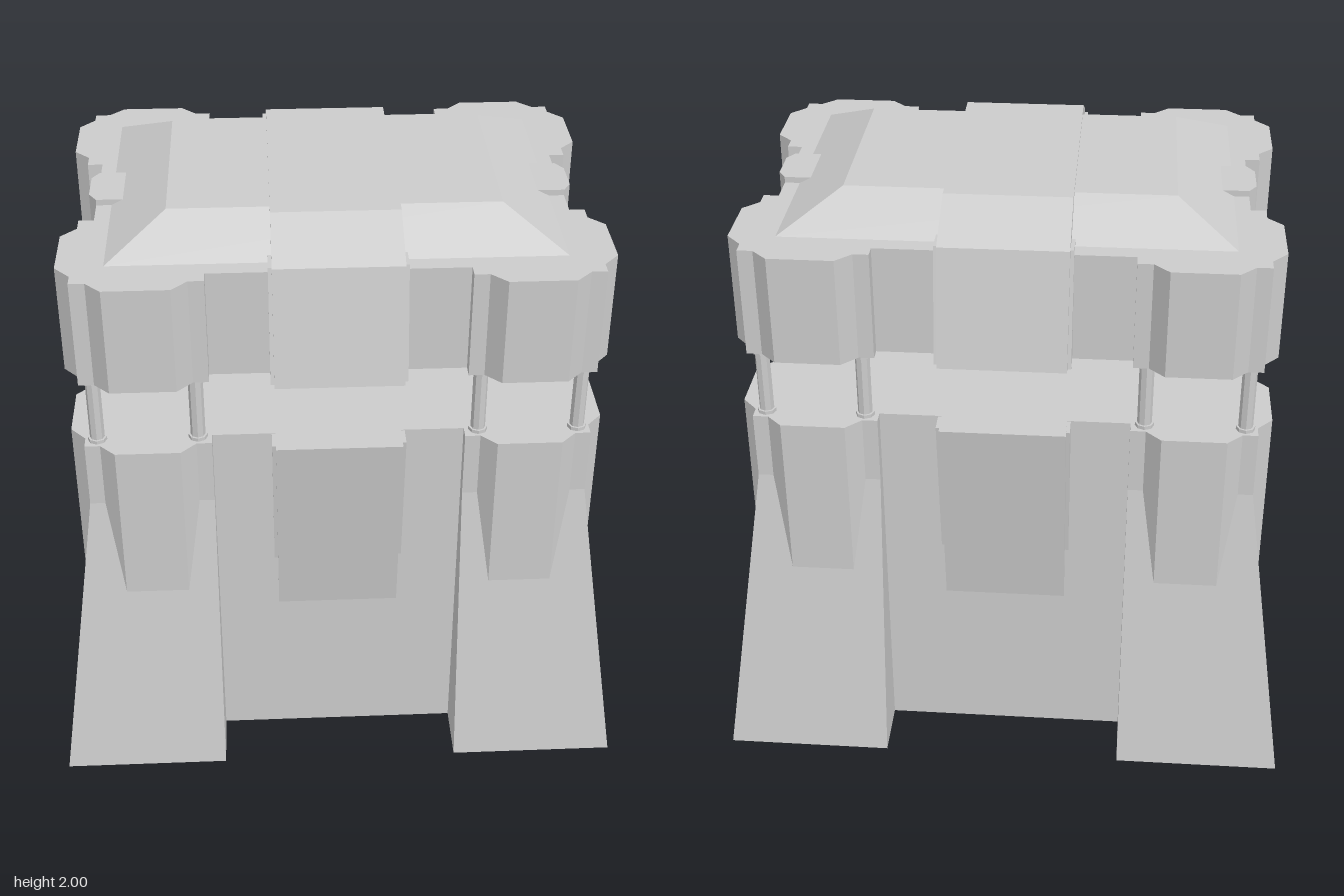
import * as THREE from 'three';

const mat = new THREE.MeshStandardMaterial({ color: 0xcccccc, flatShading: true, side: THREE.DoubleSide });

// Mirror a quarter outline (+x side round to +z side) into a full [x, z] ring
function mirrorRing(q) {
  const r = [...q].reverse();
  return [
    ...q,
    ...r.map(([x, z]) => [-x, z]),
    ...q.map(([x, z]) => [-x, -z]),
    ...r.map(([x, z]) => [x, -z]),
  ];
}

// Open wall between two rings with matching points
function wall(bottom, y0, top, y1) {
  const pos = [];
  const n = bottom.length;
  for (let i = 0; i < n; i++) {
    const j = (i + 1) % n;
    const a = [bottom[i][0], y0, bottom[i][1]], b = [bottom[j][0], y0, bottom[j][1]];
    const c = [top[i][0], y1, top[i][1]], d = [top[j][0], y1, top[j][1]];
    pos.push(...a, ...c, ...d, ...a, ...d, ...b);
  }
  const g = new THREE.BufferGeometry();
  g.setAttribute('position', new THREE.Float32BufferAttribute(pos, 3));
  g.computeVertexNormals();
  return g;
}

const planShape = (ring) => new THREE.Shape(ring.map(([x, z]) => new THREE.Vector2(x, -z)));

// Solid with a plan outline, standing from y0 to y1
function prism(ring, y0, y1) {
  return new THREE.ExtrudeGeometry(planShape(ring), { depth: y1 - y0, bevelEnabled: false })
    .rotateX(-Math.PI / 2).translate(0, y0, 0);
}

// Solid with a [z, y] side profile, spanning -halfWidth..halfWidth in x
function sideProfile(pts, halfWidth) {
  const s = new THREE.Shape(pts.map(([z, y]) => new THREE.Vector2(z, y)));
  return new THREE.ExtrudeGeometry(s, { depth: 2 * halfWidth, bevelEnabled: false })
    .rotateY(-Math.PI / 2).translate(halfWidth, 0, 0);
}

export function createModel() {
  const model = new THREE.Group();
  const add = (name, geometry, parent = model) => {
    const m = new THREE.Mesh(geometry, mat);
    m.name = name;
    parent.add(m);
    return m;
  };

  // Plan outlines: body with four corner towers
  const towerPlan = (x, z) => mirrorRing([[0.77, 0.205], [x, 0.205], [x, z], [0.41, z], [0.41, 0.57]]);
  const crownPlan = mirrorRing([
    [0.77, 0.205], [0.82, 0.205], [0.82, 0.26], [0.87, 0.31], [0.87, 0.515], [0.82, 0.57], [0.82, 0.615],
    [0.77, 0.615], [0.72, 0.665], [0.51, 0.665], [0.46, 0.615], [0.41, 0.615], [0.41, 0.57],
  ]);

  // Base: battered walls, open below, with faceted upright crowns on the corners
  add('baseWalls', wall(towerPlan(0.97, 0.77), 0, towerPlan(0.82, 0.615), 1.06));
  add('baseCrownWalls', wall(crownPlan, 0.7, crownPlan, 1.29));
  add('baseDeck', new THREE.ShapeGeometry(planShape(crownPlan)).rotateX(-Math.PI / 2).translate(0, 1.29, 0));

  // Roof block and hipped top
  add('roofBlock', prism(crownPlan, 1.525, 1.89));
  const hip = new THREE.BoxGeometry(1.44, 0.1, 1.02);
  const p = hip.attributes.position;
  for (let i = 0; i < p.count; i++) {
    if (p.getY(i) > 0) {
      p.setX(i, Math.sign(p.getX(i)) * 0.53);
      p.setZ(i, Math.sign(p.getZ(i)) * 0.33);
    }
  }
  hip.computeVertexNormals();
  add('roofHip', hip.translate(0, 1.94, 0));

  // Central band over the roof, with a slightly wider lip behind it
  add('roofBand', sideProfile([
    [0.665, 1.525], [0.59, 1.91], [0.39, 2], [-0.39, 2], [-0.59, 1.91], [-0.665, 1.525],
  ], 0.205));
  add('roofBandLip', sideProfile([
    [0.64, 1.525], [0.57, 1.905], [0.49, 1.905], [0.45, 1.87],
    [-0.45, 1.87], [-0.49, 1.905], [-0.57, 1.905], [-0.64, 1.525],
  ], 0.217));

  // Wedge buttresses under the band, front and back
  for (const s of [1, -1]) {
    const name = s > 0 ? 'front' : 'back';
    add(name + 'Buttress', sideProfile([[s * 0.55, 0.57], [s * 0.57, 0.57], [s * 0.665, 1.29], [s * 0.55, 1.29]], 0.205));
    add(name + 'ButtressLip', sideProfile([[s * 0.55, 0.77], [s * 0.57, 0.77], [s * 0.64, 1.288], [s * 0.55, 1.288]], 0.217));
  }

  for (const s of [1, -1]) {
    const side = s > 0 ? 'left' : 'right';
    // Chamfered pilasters on the end walls
    const pilaster = [[0.68, -0.1], [0.77, -0.1], [0.795, -0.06], [0.795, 0.06], [0.77, 0.1], [0.68, 0.1]]
      .map(([x, z]) => [s * x, z]);
    add(side + 'LowerPilaster', prism(pilaster, 0, 1.23));
    add(side + 'UpperPilaster', prism(pilaster, 1.585, 1.91));
    // Thick column carrying the roof
    const column = [[0.43, -0.15], [0.68, -0.15], [0.725, -0.11], [0.725, 0.11], [0.68, 0.15], [0.43, 0.15]]
      .map(([x, z]) => [s * x, z]);
    add(side + 'Column', prism(column, 1.285, 1.53));
    add(side + 'ColumnBracket', new THREE.BoxGeometry(0.02, 0.085, 0.2).translate(s * 0.42, 1.485, 0));

    // Slim corner posts with collars
    for (const t of [1, -1]) {
      for (const x of [0.78, 0.455]) {
        const post = new THREE.Group();
        post.name = side + (t > 0 ? 'Front' : 'Back') + 'Post';
        post.position.set(s * x, 0, t * 0.575);
        add('shaft', new THREE.CylinderGeometry(0.024, 0.024, 0.24, 8).translate(0, 1.4075, 0), post);
        for (const y of [1.295, 1.519]) {
          add('collar', new THREE.CylinderGeometry(0.031, 0.031, 0.014, 8).translate(0, y, 0), post);
        }
        model.add(post);
      }
    }
  }

  // Square recessed hatches under the right-hand roof corners
  for (const t of [1, -1]) {
    const r = Math.SQRT2;
    const profile = [[0.05, 1.524], [0.05, 1.5], [0.085, 1.5], [0.103, 1.526]]
      .map(([h, y]) => new THREE.Vector2(h * r, y));
    add('roofHatch', new THREE.LatheGeometry(profile, 4, Math.PI / 4).translate(-0.62, 0, t * 0.412));
  }

  return model;
}
